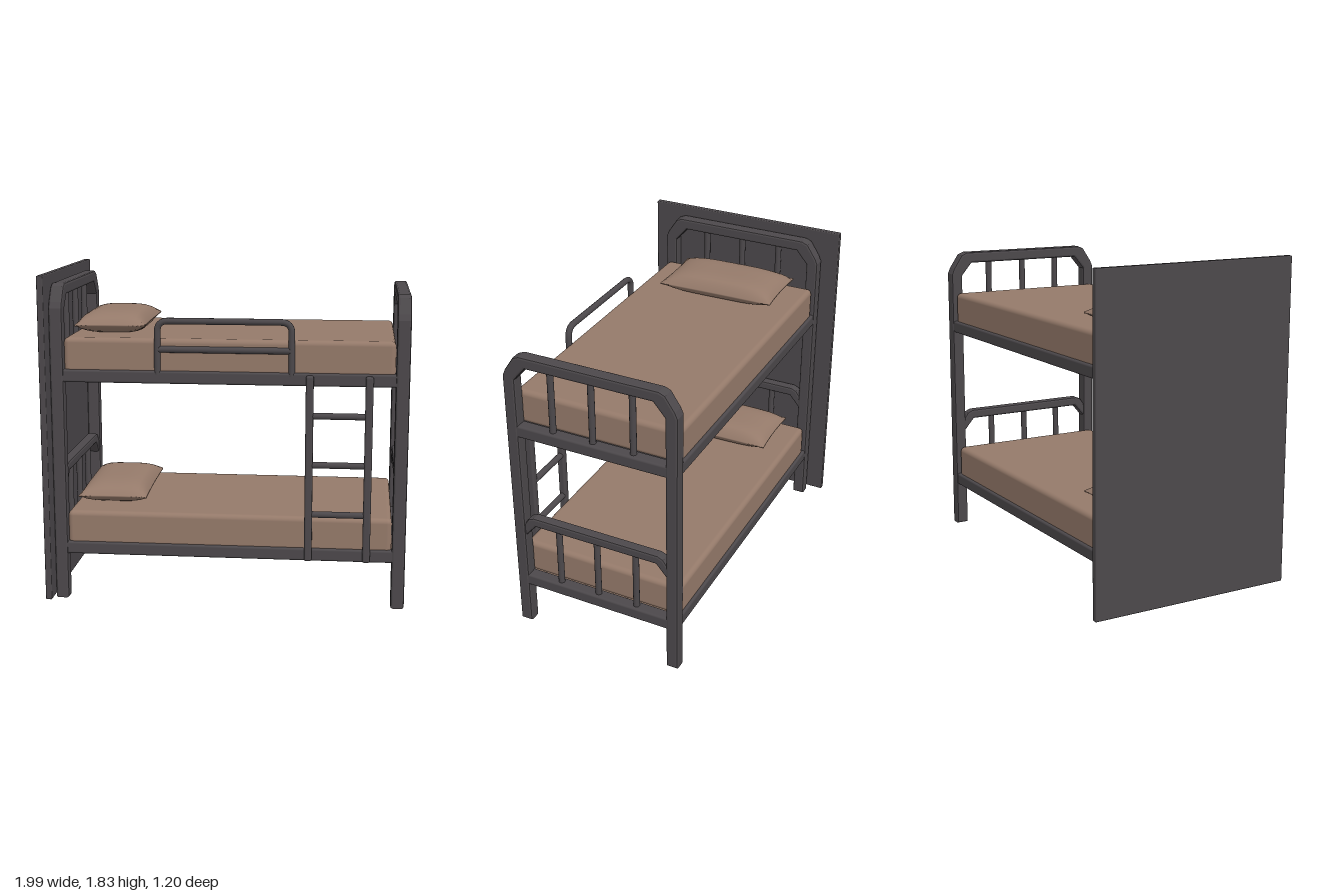
import * as THREE from 'three';
import { mergeVertices } from 'three/addons/utils/BufferGeometryUtils.js';
import { RoundedBoxGeometry } from 'three/addons/geometries/RoundedBoxGeometry.js';

const metal = new THREE.MeshStandardMaterial({ color: 0x4c484b });
metal.name = 'charcoal metal';
const fabric = new THREE.MeshStandardMaterial({ color: 0x957a6a });
fabric.name = 'tan fabric';

function add(group, name, geometry, material, x = 0, y = 0, z = 0) {
  const mesh = new THREE.Mesh(geometry, material);
  mesh.name = name;
  mesh.position.set(x, y, z);
  group.add(mesh);
  return mesh;
}

// Rounded block given by its minimum and maximum corners
function block(group, name, material, a, b, radius = 0.012) {
  const g = new RoundedBoxGeometry(b[0] - a[0], b[1] - a[1], b[2] - a[2], 3, radius);
  return add(group, name, g, material, (a[0] + b[0]) / 2, (a[1] + b[1]) / 2, (a[2] + b[2]) / 2);
}

// Round bar between two points
function bar(group, name, a, b, radius) {
  const p = new THREE.Vector3(...a), q = new THREE.Vector3(...b);
  const mesh = add(group, name, new THREE.CylinderGeometry(radius, radius, p.distanceTo(q), 12), metal);
  mesh.position.copy(p).lerp(q, 0.5);
  mesh.quaternion.setFromUnitVectors(new THREE.Vector3(0, 1, 0), q.sub(p).normalize());
}

// Arch with chamfered corners, standing across the bed (in the z-y plane)
function arch(group, name, x, width, half, bottom, top, thick, beam, cut) {
  const bevel = 0.012;
  const o = half - bevel, i = half - thick + bevel;
  const t = top - bevel, u = top - beam + bevel;
  const outer = [[-o, bottom + bevel], [-o, t - cut * 1.4], [-o + cut * 0.15, t - cut * 1.05],
    [-o + cut * 0.75, t - cut * 0.15], [-o + cut * 1.1, t]];
  const inner = [[-i, bottom + bevel], [-i, u - cut], [-i + cut * 0.85, u]];
  const mirror = (pts) => pts.map(([z, y]) => [-z, y]).reverse();
  const loop = [...outer, ...mirror(outer), ...mirror(inner).reverse(), ...inner.slice().reverse()];
  const shape = new THREE.Shape(loop.map(([z, y]) => new THREE.Vector2(z, y)));
  const g = new THREE.ExtrudeGeometry(shape, {
    depth: width - 2 * bevel, bevelThickness: bevel, bevelSize: bevel, bevelSegments: 2,
  });
  g.translate(0, 0, -(width - 2 * bevel) / 2);
  g.rotateY(Math.PI / 2);
  add(group, name, g, metal, x);
}

// Soft cushion, thinning to a seam at its edges, with slightly pulled corners
function pillowGeometry(width, up, down, length) {
  let g = new THREE.BoxGeometry(2, 2, 2, 16, 1, 24);
  g.deleteAttribute('uv');
  g.deleteAttribute('normal');
  const p = g.attributes.position;
  for (let k = 0; k < p.count; k++) {
    const u = p.getX(k), v = p.getZ(k), side = p.getY(k);
    const puff = Math.pow((1 - u ** 4) * (1 - v ** 4), 0.6);
    const waist = 0.95 + 0.05 * Math.max(u * u, v * v) * (u * u + v * v) / 2;
    p.setXYZ(k, u * waist * width / 2,
      side > 0 ? 0.004 + up * puff : -0.004 - down * puff,
      v * waist * length / 2);
  }
  g = mergeVertices(g);
  g.computeVertexNormals();
  return g;
}

// Headboard or footboard: tall arch, lower arch, cross rails and spindles
function endFrame(name, x, top, lowTop) {
  const group = new THREE.Group();
  group.name = name;
  arch(group, 'postArch', x, 0.075, 0.5, 0, top, 0.07, 0.065, 0.085);
  arch(group, 'lowerArch', x, 0.06, 0.475, 0.28, lowTop, 0.045, 0.055, 0.08);
  for (const [y, roof] of [[0.26, lowTop], [1.24, top]]) {
    block(group, 'crossRail', metal, [x - 0.035, y, -0.45], [x + 0.035, y + 0.07, 0.45]);
    for (const z of [-0.235, 0, 0.235]) {
      bar(group, 'spindle', [x, y + 0.05, z], [x, roof - 0.03, z], 0.018);
    }
  }
  return group;
}

// One sleeping level whose rails start at height y
function bunk(name, y, baseMaterial) {
  const group = new THREE.Group();
  group.name = name;
  for (const s of [-1, 1]) {
    block(group, 'sideRail', metal, [-0.91, y, s * 0.465 - 0.03], [0.94, y + 0.07, s * 0.465 + 0.03]);
  }
  block(group, 'base', baseMaterial, [-0.9, y + 0.012, -0.45], [0.93, y + 0.06, 0.45], 0.005);
  block(group, 'mattress', fabric, [-0.89, y + 0.05, -0.48], [0.918, y + 0.245, 0.48], 0.028);
  const pillow = add(group, 'pillow', pillowGeometry(0.39, 0.068, 0.055, 0.7), fabric, -0.67, y + 0.293, -0.015);
  pillow.rotation.y = 0.02;
  return group;
}

// Safety rail: bent tube with a middle bar
function guardRail() {
  const group = new THREE.Group();
  group.name = 'guardRail';
  const v = (x, y) => new THREE.Vector3(x, y, 0.48);
  const path = new THREE.CurvePath();
  const l = -0.37, r = 0.36, low = 1.29, top = 1.583, c = 0.06;
  path.add(new THREE.LineCurve3(v(l, low), v(l, top - c)));
  path.add(new THREE.QuadraticBezierCurve3(v(l, top - c), v(l, top), v(l + c, top)));
  path.add(new THREE.LineCurve3(v(l + c, top), v(r - c, top)));
  path.add(new THREE.QuadraticBezierCurve3(v(r - c, top), v(r, top), v(r, top - c)));
  path.add(new THREE.LineCurve3(v(r, top - c), v(r, low)));
  add(group, 'guardTube', new THREE.TubeGeometry(path, 100, 0.018, 10), metal);
  bar(group, 'guardMiddleBar', [l, 1.428, 0.48], [r, 1.428, 0.48], 0.018);
  return group;
}

// Ladder on the front side
function ladder() {
  const group = new THREE.Group();
  group.name = 'ladder';
  for (const x of [0.46, 0.78]) {
    block(group, 'stile', metal, [x - 0.021, 0.265, 0.482], [x + 0.021, 1.3, 0.525]);
  }
  for (const y of [0.53, 0.808, 1.08]) {
    bar(group, 'rung', [0.46, y, 0.503], [0.78, y, 0.503], 0.018);
  }
  return group;
}

export function createModel() {
  const model = new THREE.Group();
  model.name = 'bunkBed';
  block(model, 'wallPanel', metal, [-1, 0.02, -0.6], [-0.965, 1.83, 0.6], 0.006);
  model.add(endFrame('headFrame', -0.927, 1.775, 0.765));
  model.add(endFrame('footFrame', 0.957, 1.73, 0.73));
  model.add(bunk('lowerBunk', 0.26, fabric));
  model.add(bunk('upperBunk', 1.24, metal));
  model.add(guardRail());
  model.add(ladder());
  return model;
}
